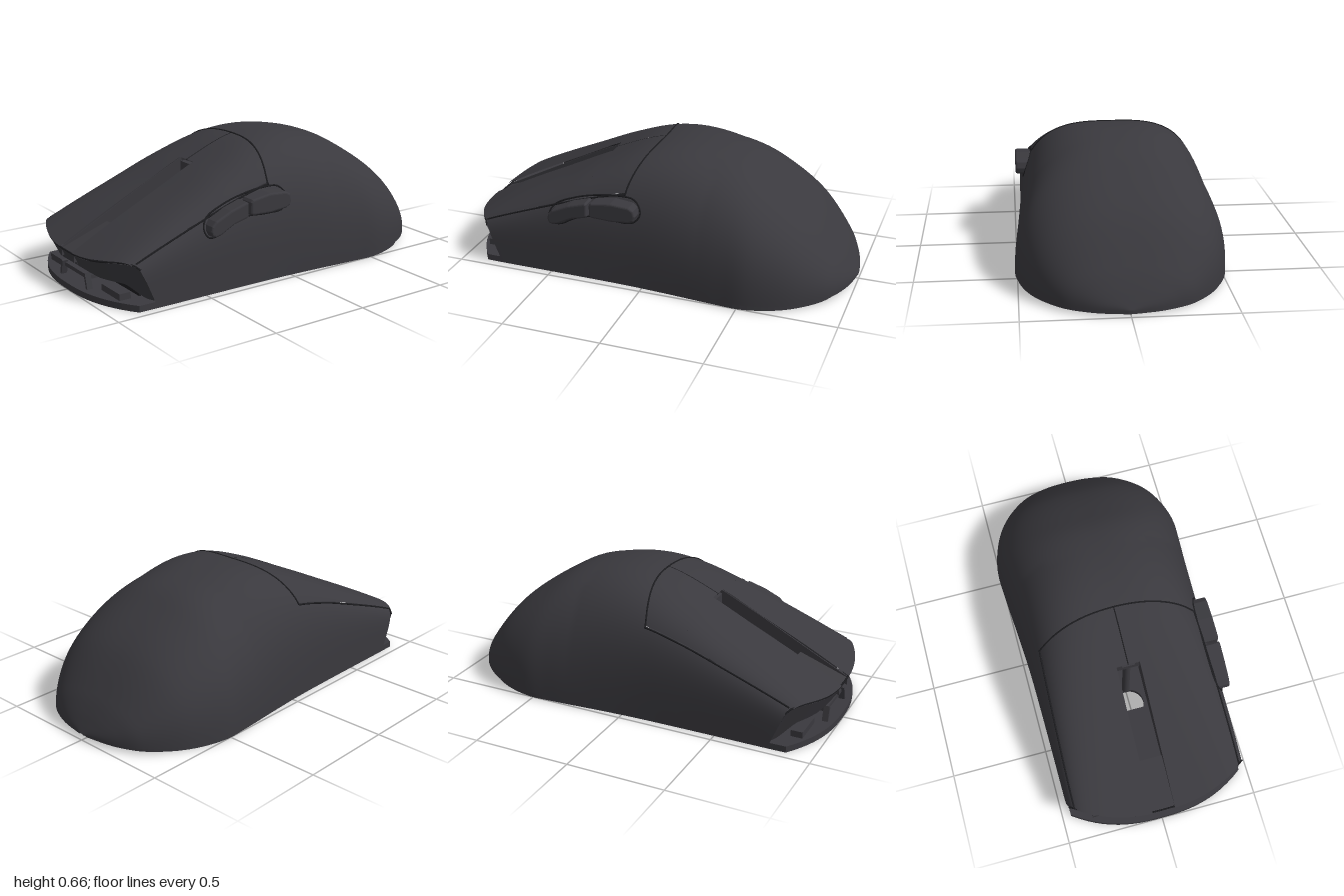
import * as THREE from 'three';

const DEG = Math.PI / 180, EDGE = 41 * DEG;
const lerp = THREE.MathUtils.lerp;

// Length stations: z, half width, top height
const stations = new THREE.CatmullRomCurve3([
  [-1, 0.01, 0.035], [-0.98, 0.13, 0.075], [-0.95, 0.22, 0.13], [-0.9, 0.31, 0.205],
  [-0.74, 0.445, 0.395], [-0.55, 0.508, 0.53], [-0.4, 0.505, 0.608], [-0.15, 0.487, 0.655],
  [0.06, 0.475, 0.635], [0.3, 0.47, 0.545], [0.52, 0.468, 0.44], [0.8, 0.466, 0.305], [1.02, 0.46, 0.19],
].map(([z, w, h]) => new THREE.Vector3(z, w, h)));

function station(z) {
  let lo = 0, hi = 1;
  for (let i = 0; i < 24; i++) {
    const mid = (lo + hi) / 2;
    if (stations.getPoint(mid).x < z) lo = mid; else hi = mid;
  }
  const p = stations.getPoint(lo);
  return { w: p.y, h: p.z };
}

// Cross-sections go from round at the back to squarish at the front
const squareness = z => z < -0.3 ? 2.5 : z < 0.1 ? lerp(2.5, 3.2, (z + 0.3) / 0.4) : lerp(3.2, 5.5, Math.min(1, (z - 0.1) / 0.8));

// Point on the shell at section angle a and length z
function shell(a, z) {
  const { w, h } = station(z), n = squareness(z);
  const c = Math.cos(a), s = Math.sin(a);
  const r = Math.pow(Math.abs(c) ** n + Math.abs(s) ** n, -1 / n);
  return new THREE.Vector3(w * r * c, 0.03 + (h - 0.03) * r * s, z);
}
// Shell heights and widths by position
function topAt(x, z) {
  const { w, h } = station(z), n = squareness(z);
  return 0.03 + (h - 0.03) * Math.pow(Math.max(0, 1 - Math.abs(x / w) ** n), 1 / n);
}
function sideAt(y, z) {
  const { w, h } = station(z), n = squareness(z);
  return w * Math.pow(Math.max(0, 1 - Math.abs((y - 0.03) / (h - 0.03)) ** n), 1 / n);
}
const frontZ = x => 1 - 0.13 * (Math.abs(x) / 0.45) ** 2.5;
const seamZ = a => Math.min(0.1, 0.03 + 0.07 * (shell(a, 0.1).x / 0.4) ** 2);
const keyFront = a => frontZ(shell(a, 0.9).x);

function grid(nu, nv, pointAt, normalAt) {
  const pos = [], nor = [], idx = [];
  for (let j = 0; j <= nv; j++) for (let i = 0; i <= nu; i++) {
    pos.push(...pointAt(i / nu, j / nv).toArray());
    if (normalAt) nor.push(...normalAt(i / nu, j / nv).toArray());
    if (i < nu && j < nv) {
      const k = j * (nu + 1) + i, m = k + nu + 1;
      idx.push(k, k + 1, m, k + 1, m + 1, m);
    }
  }
  const g = new THREE.BufferGeometry();
  g.setAttribute('position', new THREE.Float32BufferAttribute(pos, 3));
  g.setIndex(idx);
  if (normalAt) g.setAttribute('normal', new THREE.Float32BufferAttribute(nor, 3));
  else g.computeVertexNormals();
  return g;
}

// Piece of the shell between two angles and two seams
function patch(a0, a1, z0, z1, nu, nv, power = 1) {
  const at = (u, v) => {
    const a = lerp(a0, a1, u);
    return [a, lerp(z0(a), z1(a), v ** power)];
  };
  return grid(nu, nv, (u, v) => shell(...at(u, v)), (u, v) => {
    const [a, zz] = at(u, v), z = Math.max(zz, -0.996), e = 0.003;
    const da = shell(a + e, z).sub(shell(a - e, z));
    const dz = shell(a, z + e).sub(shell(a, z - e));
    return da.cross(dz).normalize();
  });
}

// Extrude a (z, y) outline across x, ending at xMax
function acrossX(points, width, xMax, bevel = 0) {
  const shape = new THREE.Shape(points.map(p => new THREE.Vector2(...p)));
  const g = new THREE.ExtrudeGeometry(shape, {
    depth: width, bevelEnabled: bevel > 0, bevelSize: bevel, bevelThickness: bevel, bevelOffset: -bevel, bevelSegments: 3,
  });
  return g.rotateY(-Math.PI / 2).translate(xMax, 0, 0);
}

export function createModel() {
  const group = new THREE.Group();
  const body = new THREE.MeshStandardMaterial({ color: 0x3a393e, side: THREE.DoubleSide });
  body.name = 'charcoal';
  const dark = new THREE.MeshStandardMaterial({ color: 0x1c1c1f, side: THREE.DoubleSide });
  dark.name = 'seam black';
  const add = (name, geometry, material = body) => {
    const mesh = new THREE.Mesh(geometry, material);
    mesh.name = name;
    group.add(mesh);
    return mesh;
  };
  const box = (name, w, h, d, x, y, z, material) => add(name, new THREE.BoxGeometry(w, h, d).translate(x, y, z), material);
  const line = (name, points, closed = false) =>
    add(name, new THREE.TubeGeometry(new THREE.CatmullRomCurve3(points, closed), 60, 0.0045, 6, closed), dark);
  const steps = (n, f) => Array.from({ length: n + 1 }, (_, i) => f(i / n));

  // Palm shell and side walls
  add('palmShell', patch(0, Math.PI, () => -1, seamZ, 80, 48, 2));
  const wallEnd = a => 0.865 - 0.08 * (1 - Math.min(a, Math.PI - a) / EDGE);
  add('leftWall', patch(0, EDGE, () => 0.1, wallEnd, 20, 24));
  add('rightWall', patch(Math.PI - EDGE, Math.PI, () => 0.1, wallEnd, 20, 24));

  // Two main keys, each notched for the wheel slot
  const keyEdge = EDGE + 0.8 * DEG;
  for (const left of [true, false]) {
    const side = left ? 'left' : 'right';
    const range = inner => {
      const a = Math.atan2(1, inner / 0.468);
      return left ? [keyEdge, a] : [Math.PI - a, Math.PI - keyEdge];
    };
    add(side + 'KeyRear', patch(...range(0.003), a => seamZ(a) + 0.008, () => 0.31, 28, 12));
    add(side + 'KeyFront', patch(...range(0.06), () => 0.31, keyFront, 28, 30));
    const a = left ? EDGE : Math.PI - EDGE;
    line(side + 'KeySeam', steps(20, t => shell(a, lerp(0.1, 0.865, t))));
    // Wall of the wheel slot
    add(side + 'SlotWall', acrossX([[0.3, 0.54], [0.52, 0.435], [0.99, 0.195], [0.99, 0.15], [0.3, 0.4]], 0.006, left ? 0.066 : -0.06));
  }
  line('rearKeySeam', steps(30, t => {
    const a = lerp(EDGE, Math.PI - EDGE, t);
    return shell(a, seamZ(a) + 0.004);
  }));
  line('centreSeam', steps(10, t => shell(Math.PI / 2, lerp(0.035, 0.31, t)).add(new THREE.Vector3(0, -0.004, 0))));

  // Wheel slot: sloping front bar, floor, rear block, post and rib
  add('slotBar', acrossX([[0.99, 0.19], [0.74, 0.28], [0.74, 0.2], [0.45, 0.2], [0.45, 0.17], [0.97, 0.14]], 0.12, 0.06));
  box('slotRearBlock', 0.12, 0.06, 0.03, 0, 0.49, 0.292);
  box('slotRearTab', 0.07, 0.02, 0.03, 0, 0.513, 0.3);
  add('slotPost', new THREE.CylinderGeometry(0.02, 0.02, 0.43, 16).translate(0, 0.245, 0.285));
  const rib = new THREE.TorusGeometry(0.09, 0.012, 8, 24, Math.PI);
  add('slotRib', rib.rotateX(-Math.PI / 2).translate(0, 0.33, 0.27), dark);

  // Front bumper below the keys, arched over the front opening
  const bumperPoint = (u, v) => {
    const x = lerp(-0.458, 0.458, u), z = frontZ(x) - 0.008;
    const top = topAt(x * 0.97, z) - 0.018;
    const open = 1 - THREE.MathUtils.smoothstep(Math.abs(x), 0.33, 0.42);
    const arch = 0.025 * Math.max(0, 1 - (x / 0.2) ** 2);
    const y = lerp(0.035 + open * 0.07 + arch, top, v);
    return new THREE.Vector3(x, y, z - 0.5 * (top - y));
  };
  add('frontBumper', grid(60, 8, bumperPoint));
  line('bumperSeam', steps(40, t => bumperPoint(t, 1).add(new THREE.Vector3(0, 0.006, 0))));

  // Blocks and struts inside the front opening
  for (const s of [-1, 1]) {
    box('frontBlock', 0.17, 0.035, 0.06, s * 0.265, 0.047, 0.88);
    box('frontStrut', 0.014, 0.085, 0.03, 0, 0, 0).position.set(s * 0.125, 0.065, 0.95);
    group.children.at(-1).rotation.z = s * 0.25;
  }
  box('frontTray', 0.24, 0.02, 0.1, 0, 0.085, 0.9);
  box('frontCrossbar', 0.7, 0.07, 0.01, 0, 0.065, 0.8, dark);

  // Base plate with the round sensor hole
  const right = steps(50, t => {
    const z = -1 + 1.85 * t * t;
    return new THREE.Vector2(station(z).w * 0.98, -(z < 0 ? z * 0.965 : z));
  });
  const front = steps(24, t => {
    const x = lerp(0.455, -0.455, t);
    return new THREE.Vector2(x, -frontZ(x));
  });
  const left = right.map(p => new THREE.Vector2(-p.x, p.y)).reverse();
  const plate = new THREE.Shape([...right, ...front, ...left]);
  const hole = new THREE.Path();
  hole.absarc(0, -0.37, 0.075, 0, Math.PI * 2, true);
  plate.holes.push(hole);
  add('basePlate', new THREE.ExtrudeGeometry(plate, { depth: 0.032, bevelEnabled: false, curveSegments: 24 }).rotateX(-Math.PI / 2));

  // Two thumb buttons on the left wall with a seam around them
  const rear = [[0.022, 0.4], [0.03, 0.43], [0.055, 0.445], [0.15, 0.452], [0.255, 0.437], [0.265, 0.425],
    [0.265, 0.37], [0.255, 0.36], [0.15, 0.355], [0.055, 0.363], [0.03, 0.375]];
  const fore = [[0.277, 0.425], [0.287, 0.432], [0.38, 0.405], [0.465, 0.367], [0.487, 0.345], [0.493, 0.32],
    [0.485, 0.297], [0.465, 0.29], [0.435, 0.297], [0.36, 0.335], [0.287, 0.353], [0.277, 0.362]];
  add('rearThumbButton', acrossX(rear, 0.08, 0.484, 0.01));
  add('frontThumbButton', acrossX(fore, 0.08, 0.484, 0.01));
  const outline = [[0.012, 0.4], [0.05, 0.456], [0.15, 0.462], [0.27, 0.445], [0.38, 0.415], [0.475, 0.372],
    [0.503, 0.325], [0.485, 0.285], [0.435, 0.285], [0.36, 0.323], [0.27, 0.348], [0.15, 0.344], [0.045, 0.352]];
  line('thumbButtonSeam', outline.map(([z, y]) => new THREE.Vector3(sideAt(y, z), y, z)), true);

  return group;
}
